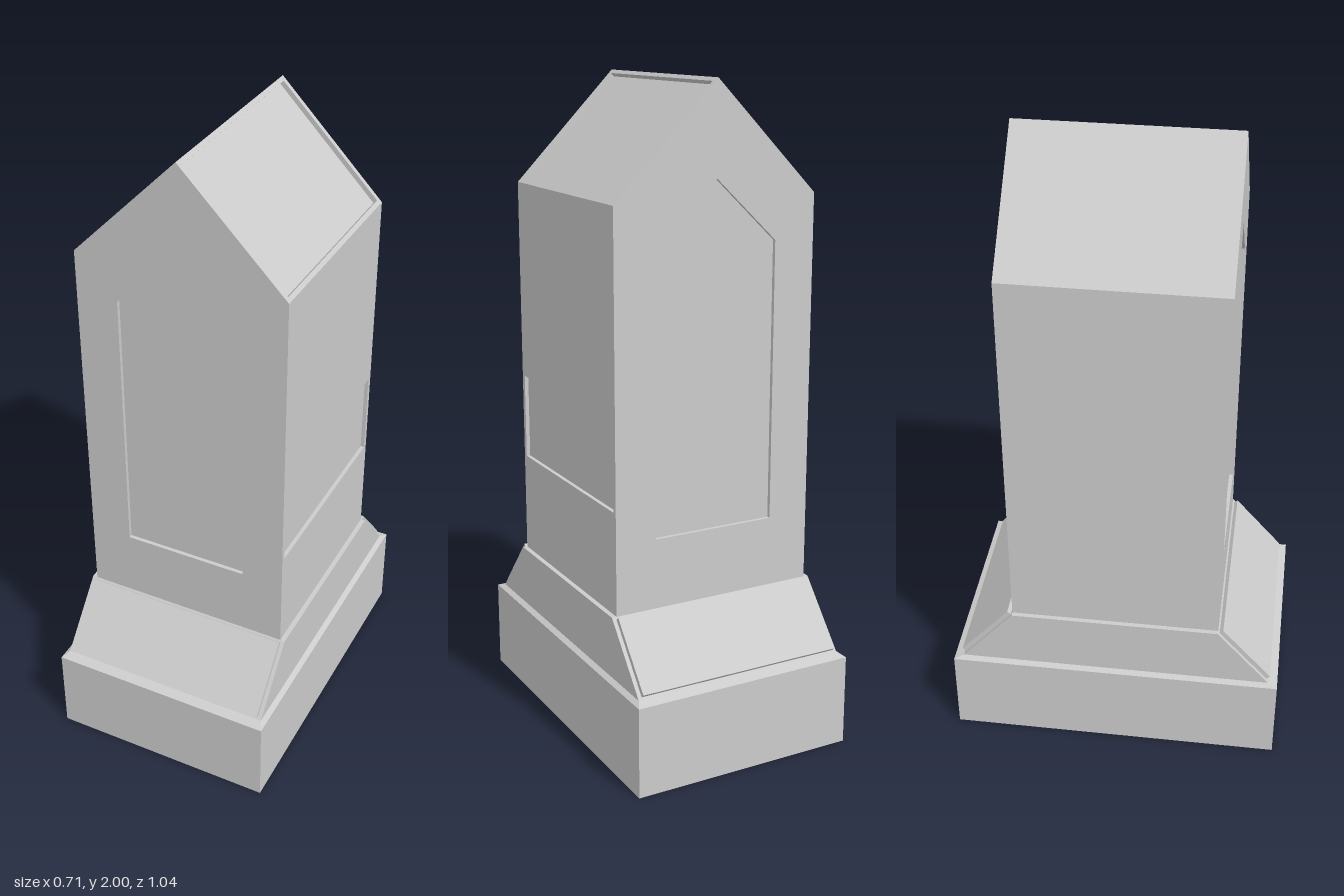
import * as THREE from 'three';
import { mergeGeometries } from 'three/addons/utils/BufferGeometryUtils.js';

const material = new THREE.MeshStandardMaterial({ color: 0xcccccc, flatShading: true, side: THREE.DoubleSide });

const HALF = 0.325; // half width and half depth of the shaft
const SHAFT_BOTTOM = 0.48;
const EAVE = 1.67;
const PEAK = 2;

function makeMesh(name, geometry) {
  const mesh = new THREE.Mesh(geometry, material);
  mesh.name = name;
  return mesh;
}

function fromTriangles(positions) {
  const geometry = new THREE.BufferGeometry();
  geometry.setAttribute('position', new THREE.Float32BufferAttribute(positions, 3));
  geometry.computeVertexNormals();
  return geometry;
}

const quad = (a, b, c, d) => [...a, ...b, ...c, ...a, ...c, ...d];
const toPoints = (list) => list.map(([x, y]) => new THREE.Vector2(x, y));
const rectangle = (w, y0, y1) => [[-w, y0], [w, y0], [w, y1], [-w, y1]];
const gable = (w, y0, y1, peak) => [[-w, y0], [w, y0], [w, y1], [0, peak], [-w, y1]];

// Open shell through rectangular rings given as [halfX, halfZ, y]
function ringShell(rings) {
  const corners = ([x, z, y]) => [[x, y, z], [x, y, -z], [-x, y, -z], [-x, y, z]];
  const positions = [];
  for (let i = 0; i < rings.length - 1; i++) {
    const low = corners(rings[i]);
    const high = corners(rings[i + 1]);
    for (let k = 0; k < 4; k++) {
      const n = (k + 1) % 4;
      positions.push(...quad(low[k], low[n], high[n], high[k]));
    }
  }
  return fromTriangles(positions);
}

// Flat face in the local xy plane, with an optional sunken panel
function panelFace(outer, inner, depth) {
  const shape = new THREE.Shape(toPoints(outer));
  if (!inner) return new THREE.ShapeGeometry(shape);
  shape.holes.push(new THREE.Path(toPoints(inner)));
  const walls = inner.flatMap(([ax, ay], i) => {
    const [bx, by] = inner[(i + 1) % inner.length];
    return quad([ax, ay, 0], [bx, by, 0], [bx, by, -depth], [ax, ay, -depth]);
  });
  const floor = new THREE.ShapeGeometry(new THREE.Shape(toPoints(inner))).translate(0, 0, -depth);
  const parts = [new THREE.ShapeGeometry(shape), floor].map((g) => g.toNonIndexed());
  parts.forEach((g) => g.deleteAttribute('uv'));
  return mergeGeometries([...parts, fromTriangles(walls)]);
}

export function createModel() {
  const model = new THREE.Group();
  model.name = 'stoneMonument';

  // Hollow plinth, open below, and the flared foot above it
  model.add(makeMesh('plinth', ringShell([[0.355, 0.52, 0], [0.355, 0.52, 0.28], [0.34, 0.49, 0.29]])));
  model.add(makeMesh('flaredFoot', ringShell([[0.34, 0.49, 0.29], [0.34, HALF, 0.48], [HALF, HALF, 0.48]])));

  // Raised slabs lying on the front and back slopes
  const profile = toPoints([[0.485, 0.296], [0.496, 0.306], [0.341, 0.484], [0.33, 0.474]]);
  const slab = new THREE.ExtrudeGeometry(new THREE.Shape(profile), { depth: 0.656, bevelEnabled: false });
  slab.translate(0, 0, -0.328).rotateY(-Math.PI / 2);
  const frontSlab = makeMesh('frontSlopeSlab', slab);
  const backSlab = makeMesh('backSlopeSlab', slab);
  backSlab.rotation.y = Math.PI;
  model.add(frontSlab, backSlab);

  // Gabled faces with sunken pointed panels
  const gableFace = panelFace(
    gable(HALF, SHAFT_BOTTOM, EAVE, PEAK),
    gable(0.195, 0.695, 1.54, 1.725),
    0.012
  );
  for (const [name, angle] of [['frontFace', 0], ['backFace', Math.PI]]) {
    const face = makeMesh(name, gableFace);
    face.rotation.y = angle;
    face.position.z = HALF * Math.cos(angle);
    model.add(face);
  }

  // Side walls and roof slopes: panels are sunk into the left side only
  const slopeLength = Math.hypot(HALF, PEAK - EAVE);
  for (const [label, sign] of [['left', 1], ['right', -1]]) {
    const wallPanel = sign > 0 ? rectangle(0.31, 0.795, 1.06) : null;
    const roofPanel = sign > 0 ? rectangle(0.31, 0.014, slopeLength - 0.014) : null;

    const wall = makeMesh(label + 'Wall', panelFace(rectangle(HALF, SHAFT_BOTTOM, EAVE), wallPanel, 0.012));
    wall.rotation.y = sign * Math.PI / 2;
    wall.position.x = sign * HALF;

    const roof = makeMesh(label + 'RoofSlope', panelFace(rectangle(HALF, 0, slopeLength), roofPanel, 0.015));
    roof.rotation.set(-Math.atan2(HALF, PEAK - EAVE), sign * Math.PI / 2, 0, 'YXZ');
    roof.position.set(sign * HALF, EAVE, 0);
    model.add(wall, roof);
  }

  return model;
}
